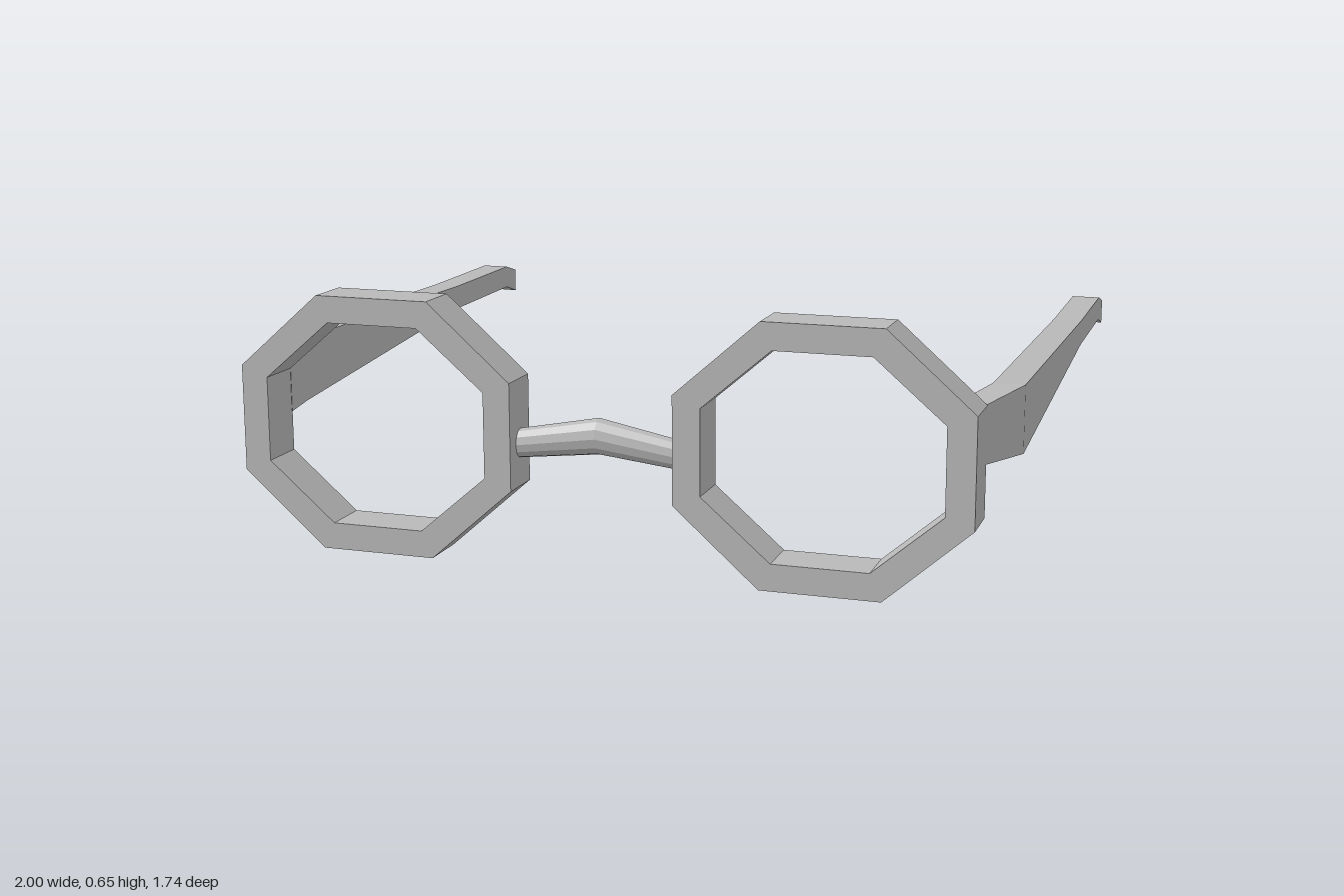
import * as THREE from 'three';

// Skin a list of rings (counter-clockwise about the direction of travel) and cap both ends.
function loft(rings) {
  const pos = [];
  const tri = (a, b, c) => pos.push(...a, ...b, ...c);
  const n = rings[0].length;
  for (let i = 0; i < rings.length - 1; i++) {
    for (let j = 0; j < n; j++) {
      const k = (j + 1) % n;
      tri(rings[i][j], rings[i][k], rings[i + 1][k]);
      tri(rings[i][j], rings[i + 1][k], rings[i + 1][j]);
    }
  }
  const first = rings[0], last = rings[rings.length - 1];
  for (let j = 1; j < n - 1; j++) {
    tri(first[0], first[j + 1], first[j]);
    tri(last[0], last[j], last[j + 1]);
  }
  const geometry = new THREE.BufferGeometry();
  geometry.setAttribute('position', new THREE.Float32BufferAttribute(pos, 3));
  geometry.computeVertexNormals();
  return geometry;
}

// Eight-sided outline: half extents w, h and half lengths of the flat edges a, b.
function octagon(w, h, a, b) {
  return [[w, -b], [w, b], [a, h], [-a, h], [-w, b], [-w, -b], [-a, -h], [a, -h]]
    .map(([x, y]) => new THREE.Vector2(x, y));
}

export function createModel() {
  const model = new THREE.Group();
  const frameGrey = new THREE.MeshStandardMaterial({ color: 0xb8b8b8 });
  frameGrey.name = 'frame grey';

  const add = (name, geometry) => {
    const mesh = new THREE.Mesh(geometry, frameGrey);
    mesh.name = name;
    model.add(mesh);
    return mesh;
  };

  // Lens rims
  const rimShape = new THREE.Shape(octagon(0.366, 0.326, 0.15, 0.136));
  rimShape.holes.push(new THREE.Path(octagon(0.296, 0.258, 0.121, 0.108)));
  const rimGeometry = new THREE.ExtrudeGeometry(rimShape, { depth: 0.123, bevelEnabled: false });

  // Temple sections from hinge to tip: z, inner x, outer x, bottom y, top y, inner z offset
  const sections = [
    [0.75, 0.87, 0.94, 0.32, 0.464, 0],
    [0.57, 0.922, 1.0, 0.308, 0.478, 0],
    [-0.41, 0.922, 1.0, 0.392, 0.461, 0],
    [-0.79, 0.922, 1.0, 0.397, 0.464, 0],
    [-0.87, 0.922, 1.0, 0.374, 0.443, 0.008],
  ];

  for (const [side, s] of [['left', 1], ['right', -1]]) {
    add(side + 'Rim', rimGeometry).position.set(s * 0.575, 0.326, 0.747);

    const rings = sections.map(([z, x0, x1, y0, y1, dz]) => {
      const ring = [[s * x1, y0, z], [s * x0, y0, z + dz], [s * x0, y1, z + dz], [s * x1, y1, z]];
      return s > 0 ? ring : ring.reverse();
    });
    add(side + 'Temple', loft(rings));
  }

  // Arched nose bridge, thickest in the middle
  const bridgeRings = [[-0.215, 0.298, 0.037, 0.03], [0, 0.331, 0.046, 0.038], [0.215, 0.298, 0.037, 0.03]]
    .map(([x, y, ry, rz]) => Array.from({ length: 12 }, (_, i) => {
      const t = (i / 12) * Math.PI * 2;
      return [x, y + ry * Math.cos(t), 0.803 + rz * Math.sin(t)];
    }));
  add('bridge', loft(bridgeRings));

  return model;
}
